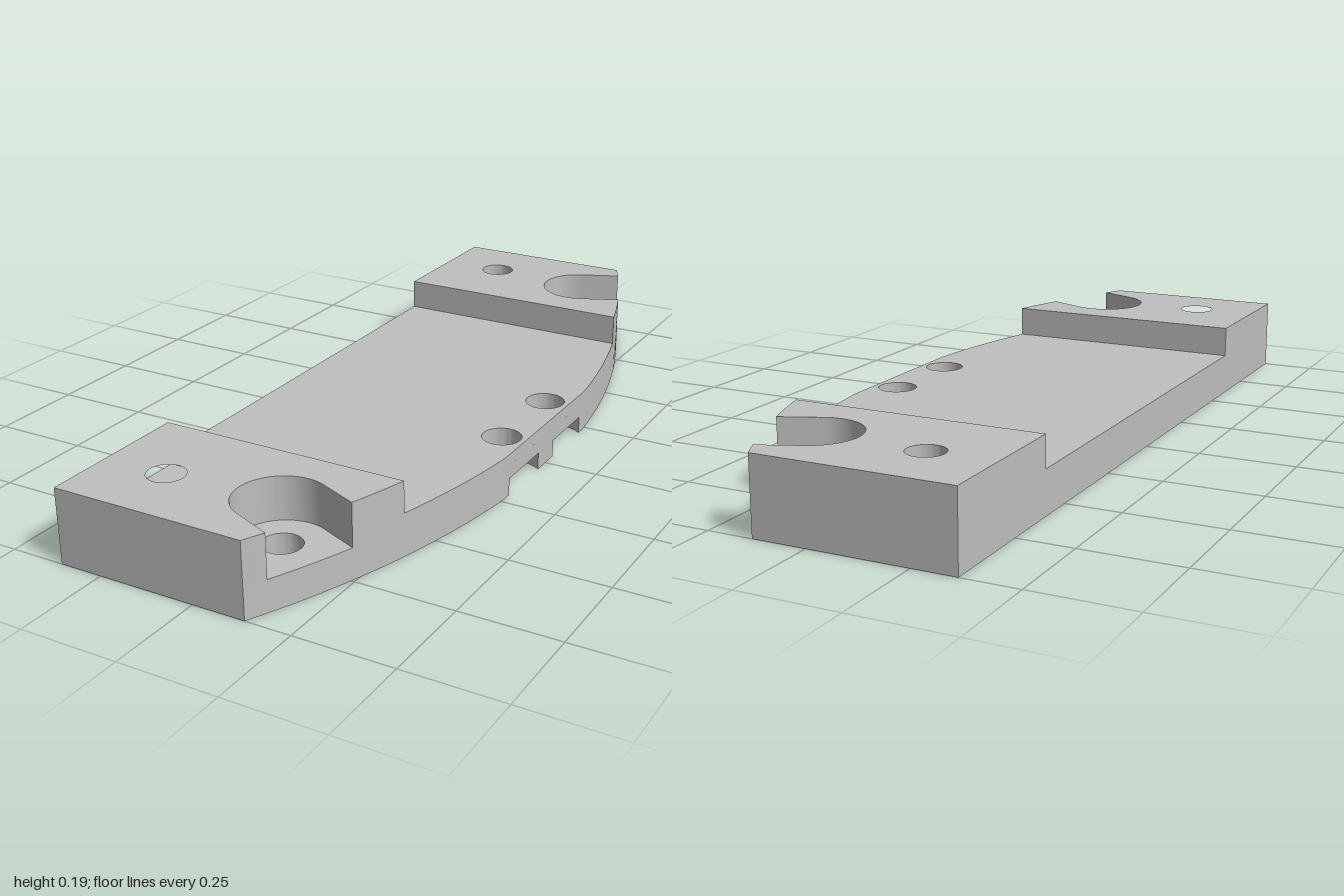
import * as THREE from 'three';
import { toCreasedNormals } from 'three/addons/utils/BufferGeometryUtils.js';

const BACK = -0.36, FLAT = 0.36, FLAT_Z = 0.235, STEP_Z = 0.6, END_Z = 1;
const BOLT = { x: -0.19, z: 0.825, r: 0.046, bore: 0.108 };      // end bolt holes
const POCKET = { x: 0.1, z: 0.803, r: 0.11, hole: 0.048 };       // open slots on the ends
const PIN = { x: 0.297, z: 0.127, r: 0.05, bore: 0.104 };        // holes near the curved edge

const material = new THREE.MeshStandardMaterial({ color: 0xbfbfbf });
material.name = 'machined grey';

// x of the bowed edge at distance z from the middle
const edgeX = z => Math.abs(z) <= FLAT_Z ? FLAT : -1.852 + Math.sqrt(4.948 - z * z);

// points along the bowed edge between two z values
function bow(z0, z1, n = 14) {
  return Array.from({ length: n + 1 }, (_, i) => {
    const z = z0 + (z1 - z0) * i / n;
    return new THREE.Vector2(edgeX(z), z);
  });
}

// points along a circular arc
function arc(x, z, r, a0, a1, n = 32) {
  return Array.from({ length: n + 1 }, (_, i) => {
    const a = a0 + (a1 - a0) * i / n;
    return new THREE.Vector2(x + r * Math.cos(a), z + r * Math.sin(a));
  });
}

// outline of the plate out to z = +-end, optionally with the edge counterbores cut in
function plateOutline(end, notched) {
  const a = Math.acos((FLAT - PIN.x) / PIN.bore);
  const notches = notched
    ? [-1, 1].flatMap(s => arc(PIN.x, s * PIN.z, PIN.bore, 2 * Math.PI - a, a))
    : [];
  return [new THREE.Vector2(BACK, -end), ...bow(-end, -FLAT_Z), ...notches,
    ...bow(FLAT_Z, end), new THREE.Vector2(BACK, end)];
}

// outline of one raised end block with its slot open to the bowed edge
function blockOutline(side) {
  const t = Math.PI / 8;
  const points = [
    new THREE.Vector2(BACK, STEP_Z), ...bow(STEP_Z, 0.745, 6),
    ...arc(POCKET.x, POCKET.z, POCKET.r, t - Math.PI / 2, t - Math.PI * 1.5),
    ...bow(0.948, END_Z, 4), new THREE.Vector2(BACK, END_Z),
  ];
  return points.map(p => new THREE.Vector2(p.x, p.y * side));
}

// extrudes an outline with round holes [x, z, r] between two heights
function layer(name, points, holes, y0, y1) {
  const shape = new THREE.Shape(points);
  for (const [x, z, r] of holes) {
    shape.holes.push(new THREE.Path().absarc(x, z, r, 0, Math.PI * 2, true));
  }
  const geometry = new THREE.ExtrudeGeometry(shape, { depth: y1 - y0, bevelEnabled: false, curveSegments: 24 });
  geometry.rotateX(-Math.PI / 2).translate(0, y0, 0);
  const mesh = new THREE.Mesh(toCreasedNormals(geometry, 0.5), material);
  mesh.name = name;
  return mesh;
}

export function createModel() {
  const group = new THREE.Group();
  group.name = 'mountingPlate';
  const pair = (x, z, r) => [[x, z, r], [x, -z, r]];
  const pins = pair(PIN.x, PIN.z, PIN.r);
  const lowerHoles = [...pair(BOLT.x, BOLT.z, BOLT.bore), ...pair(POCKET.x, POCKET.z, POCKET.hole)];

  // plate: counterbored underside, base up to the slot floors, middle deck
  group.add(
    layer('counterboredUnderside', plateOutline(END_Z, true), lowerHoles, 0, 0.045),
    layer('basePlate', plateOutline(END_Z, false), [...lowerHoles, ...pins], 0.045, 0.08),
    layer('middleDeck', plateOutline(STEP_Z, false), pins, 0.08, 0.11),
  );

  // raised blocks at both ends
  for (const side of [1, -1]) {
    group.add(layer(side < 0 ? 'frontEndBlock' : 'backEndBlock', blockOutline(side),
      [[BOLT.x, side * BOLT.z, BOLT.r]], 0.08, 0.19));
  }
  return group;
}
